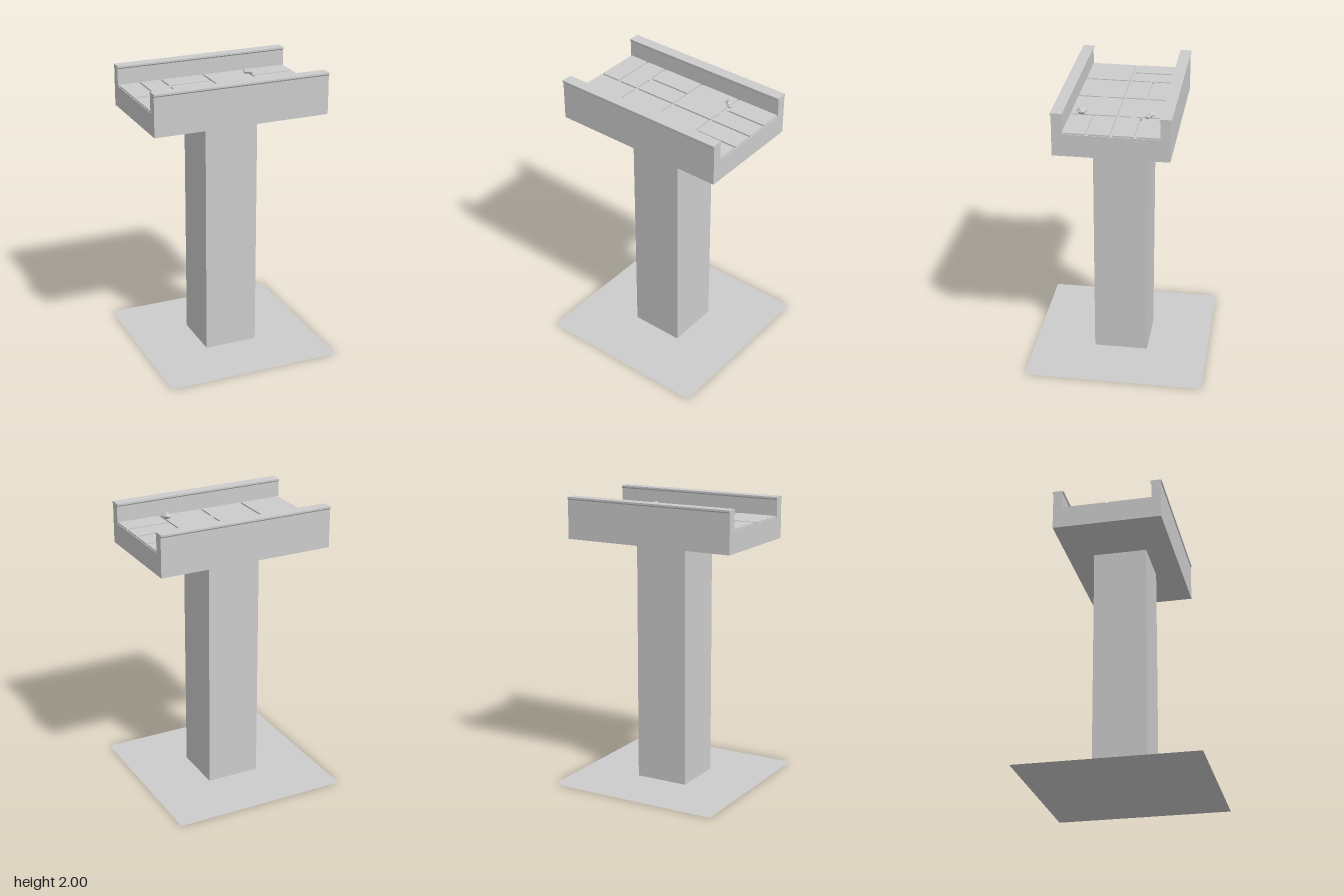
import * as THREE from 'three';
import { ConvexGeometry } from 'three/addons/geometries/ConvexGeometry.js';

const stone = new THREE.MeshStandardMaterial({ color: 0xcccccc, flatShading: true });
stone.name = 'stone';
const ground = new THREE.MeshStandardMaterial({ color: 0xcccccc, side: THREE.DoubleSide });
ground.name = 'groundStone';

const LENGTH = 1.244; // along x
const FLOOR = 1.86; // bottom of the joints
const TILE = 0.01;

function addMesh(parent, name, geometry, material = stone) {
  const mesh = new THREE.Mesh(geometry, material);
  mesh.name = name;
  parent.add(mesh);
  return mesh;
}

const shapeOf = (points) => new THREE.Shape(points.map(([x, y]) => new THREE.Vector2(x, y)));
const rect = (x0, z0, x1, z1) => [[x0, z0], [x1, z0], [x1, z1], [x0, z1]];

// Channel-shaped deck section with a small lip along each parapet
function deckGeometry() {
  const half = [
    [0.38, 1.71], [0.38, 1.98], [0.386, 1.988], [0.386, 2],
    [0.308, 2], [0.308, 1.988], [0.314, 1.98], [0.314, FLOOR],
  ];
  const mirrored = half.map(([z, y]) => [-z, y]).reverse();
  const geometry = new THREE.ExtrudeGeometry(shapeOf([...half, ...mirrored]), { depth: LENGTH, bevelEnabled: false });
  return geometry.translate(0, 0, -LENGTH / 2).rotateY(Math.PI / 2);
}

// Paving outlines as [x, z]; cracked joints leave neighbouring slabs connected
const W = 0.314, J = 0.008, E = 0.617;
const paving = [
  rect(-E, -W, -0.476, -J),
  [
    [-0.46, -W], [-0.32, -W], [-0.32, -0.15], [-0.305, -0.167], [-0.305, -W], [-J, -W],
    [-J, -0.163], [-0.297, -0.163], [-0.305, -0.148], [-J, -0.148], [-J, -J],
    [-0.305, -J], [-0.305, -0.127], [-0.32, -0.133], [-0.32, -J], [-0.46, -J],
  ],
  [
    [J, -W], [0.303, -W], [0.303, -0.1], [0.325, -0.16], [0.318, -0.17], [0.318, -W], [E, -W],
    [E, -0.163], [0.338, -0.163], [0.33, -0.148], [E, -0.148], [E, -J],
    [0.318, -J], [0.318, -0.088], [0.303, -0.077], [0.303, -J], [J, -J],
  ],
  rect(-E, J, -0.32, W),
  [
    [-0.305, J], [-J, J], [-J, 0.115], [J, 0.13], [J, J], [0.303, J], [0.303, W],
    [J, W], [J, 0.163], [-J, 0.147], [-J, W], [-0.305, W],
  ],
  rect(0.318, J, E, 0.147),
  rect(0.318, 0.163, E, W),
];

function tileGeometry(points) {
  const flipped = points.map(([x, z]) => [x, -z]);
  return new THREE.ExtrudeGeometry(shapeOf(flipped), { depth: TILE, bevelEnabled: false })
    .rotateX(-Math.PI / 2)
    .translate(0, FLOOR, 0);
}

// Irregular faceted stone with its underside on the paving
function rockGeometry(points) {
  return new ConvexGeometry(points.map((p) => new THREE.Vector3(...p)));
}

export function createModel() {
  const model = new THREE.Group();
  model.name = 'bridgeSegment';

  addMesh(model, 'groundPlane', new THREE.PlaneGeometry(LENGTH, LENGTH).rotateX(-Math.PI / 2), ground);
  addMesh(model, 'pillar', new THREE.BoxGeometry(0.378, 1.705, 0.378)).position.y = 0.8575;

  // Deck, parapets and paving
  const deck = new THREE.Group();
  deck.name = 'deck';
  model.add(deck);
  addMesh(deck, 'channel', deckGeometry());
  paving.forEach((points, i) => addMesh(deck, `pavingSlab${i + 1}`, tileGeometry(points)));

  // Loose rubble
  const rubble = new THREE.Group();
  rubble.name = 'rubble';
  rubble.position.y = FLOOR + TILE;
  model.add(rubble);
  addMesh(rubble, 'backRock', rockGeometry([
    [0.27, 0.018, -0.235], [0.29, 0.02, -0.245], [0.315, 0.018, -0.215], [0.305, 0.016, -0.188], [0.27, 0.016, -0.212],
    [0.287, 0.038, -0.23], [0.3, 0.036, -0.208], [0.28, 0, -0.225], [0.303, 0, -0.222], [0.298, 0, -0.2],
  ]));
  addMesh(rubble, 'backPebble', rockGeometry([
    [0.3, 0.01, -0.205], [0.318, 0.012, -0.218], [0.335, 0.014, -0.205], [0.334, 0.012, -0.184], [0.312, 0.014, -0.18],
    [0.318, 0.026, -0.202], [0.325, 0.024, -0.19], [0.31, 0, -0.205], [0.328, 0, -0.2], [0.32, 0, -0.186],
  ]));
  addMesh(rubble, 'frontRock', rockGeometry([
    [0.263, 0.02, 0.225], [0.28, 0.018, 0.205], [0.305, 0.024, 0.207], [0.328, 0.02, 0.23], [0.318, 0.018, 0.26],
    [0.29, 0.02, 0.276], [0.264, 0.018, 0.262], [0.285, 0.047, 0.24], [0.303, 0.042, 0.25], [0.297, 0.045, 0.222],
    [0.275, 0, 0.228], [0.31, 0, 0.225], [0.308, 0, 0.252], [0.28, 0, 0.26],
  ]));
  return model;
}
